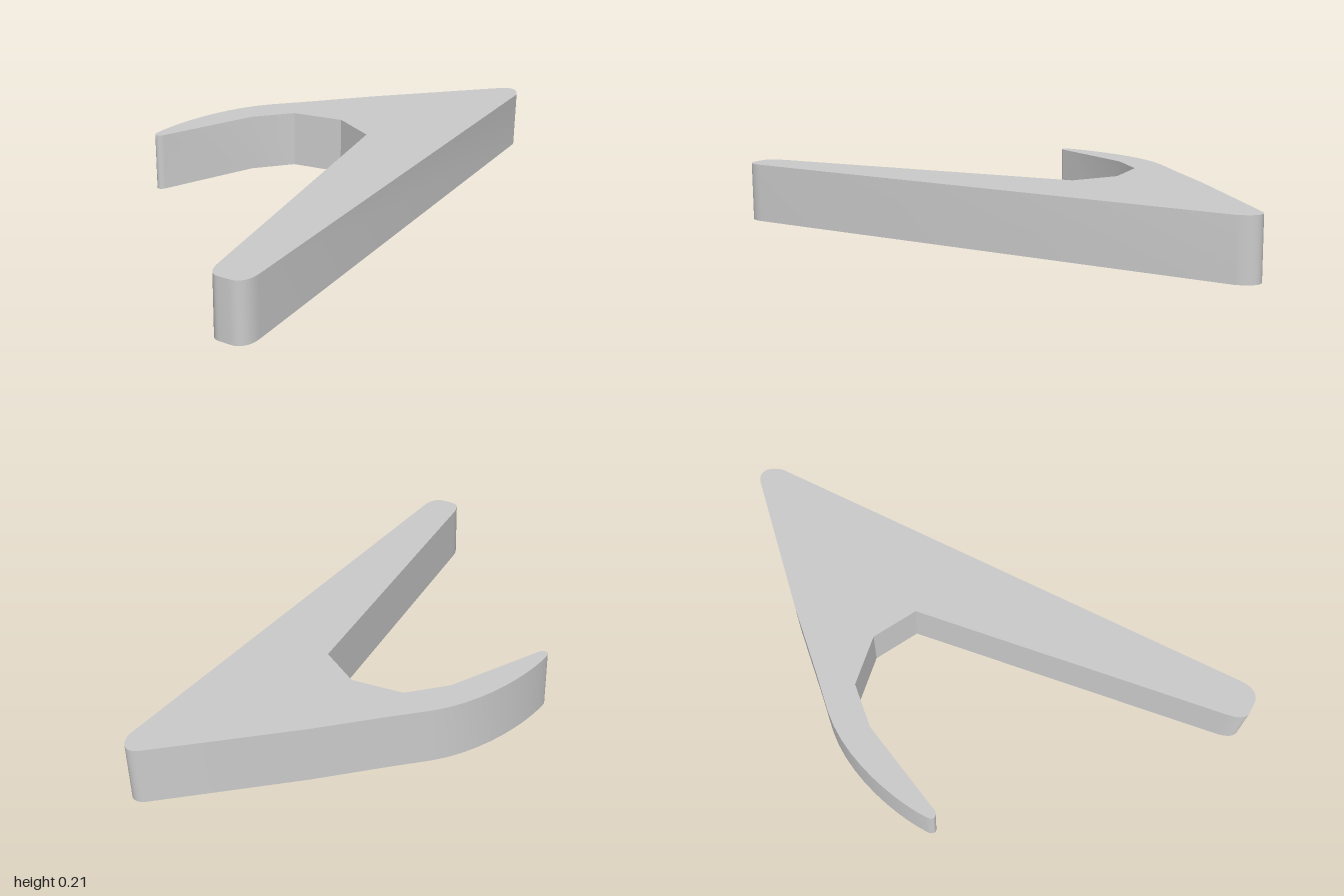
import * as THREE from 'three';
import { toCreasedNormals } from 'three/addons/utils/BufferGeometryUtils.js';

const HEIGHT = 0.21;

// Plan outline, drawn as (x, z)
function hookOutline() {
  const s = new THREE.Shape();
  // long straight arm with rounded foot
  s.moveTo(0.473, -0.935);
  s.lineTo(0.473, 0.925);
  s.bezierCurveTo(0.473, 0.97, 0.455, 1, 0.42, 1);
  s.lineTo(0.38, 1);
  s.bezierCurveTo(0.35, 1, 0.338, 0.965, 0.333, 0.92);
  // faceted inner throat
  for (const [x, z] of [[0.187, -0.222], [0.03, -0.31], [-0.16, -0.282], [-0.275, -0.16], [-0.437, 0.175]]) {
    s.lineTo(x, z);
  }
  // hook tip and its curved outer side
  s.bezierCurveTo(-0.447, 0.197, -0.473, 0.197, -0.473, 0.165);
  s.bezierCurveTo(-0.473, 0.05, -0.425, -0.18, -0.293, -0.318);
  // long sloping back, slightly bowed
  for (const [x, z] of [[-0.19, -0.42], [0, -0.615], [0.2, -0.805], [0.39, -0.985]]) {
    s.lineTo(x, z);
  }
  // rounded rear corner
  s.bezierCurveTo(0.415, -1.006, 0.455, -1.006, 0.473, -0.935);
  return s;
}

export function createModel() {
  const group = new THREE.Group();
  group.name = 'hookBracket';

  const flat = new THREE.ExtrudeGeometry(hookOutline(), { depth: HEIGHT, bevelEnabled: false, curveSegments: 10 });
  flat.rotateX(Math.PI / 2);
  flat.translate(0, HEIGHT, 0);

  const body = new THREE.Mesh(
    toCreasedNormals(flat, 0.35),
    new THREE.MeshStandardMaterial({ color: 0xcccccc })
  );
  body.name = 'hookBody';
  group.add(body);
  return group;
}
